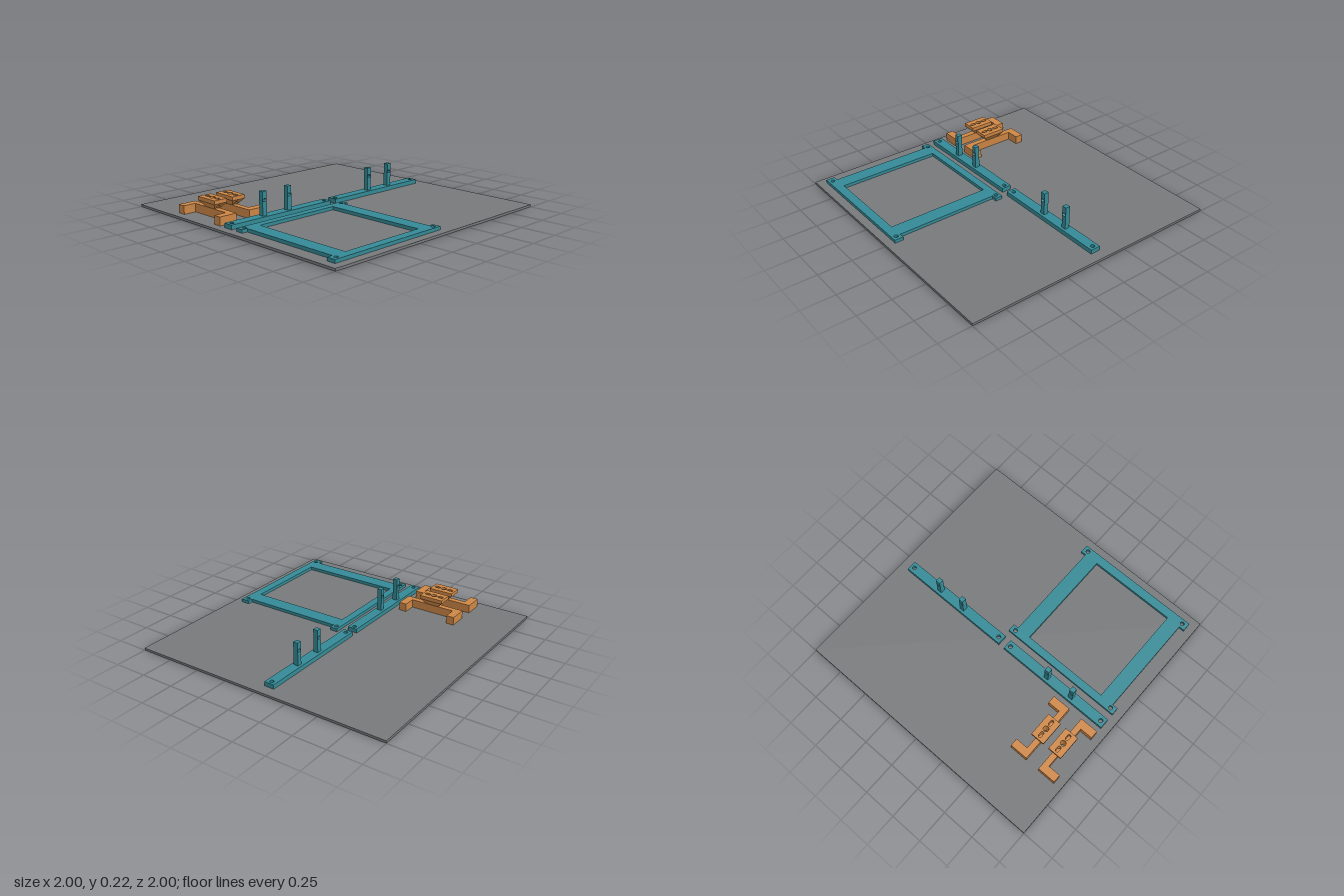
import * as THREE from 'three';

const V = (x, y) => new THREE.Vector2(x, y);
const rect = (x0, z0, x1, z1) => [V(x0, z0), V(x1, z0), V(x1, z1), V(x0, z1)];

function ring(x, z, rx, rz = rx, n = 24) {
  return Array.from({ length: n }, (_, i) => {
    const a = (i / n) * Math.PI * 2;
    return V(x + rx * Math.cos(a), z + rz * Math.sin(a));
  });
}

function shapeOf(points, holes = []) {
  const s = new THREE.Shape(points);
  holes.forEach((h) => s.holes.push(new THREE.Path(h)));
  return s;
}

// Plan outline (x, z) extruded between two heights
function slab(points, holes, y0, y1) {
  const g = new THREE.ExtrudeGeometry(shapeOf(points, holes), { depth: y1 - y0, bevelEnabled: false });
  return g.rotateX(Math.PI / 2).translate(0, y1, 0);
}

export function createModel() {
  const model = new THREE.Group();
  const plateGrey = new THREE.MeshStandardMaterial({ color: 0x77797b });
  const teal = new THREE.MeshStandardMaterial({ color: 0x348a96 });
  const orange = new THREE.MeshStandardMaterial({ color: 0xcd8746, side: THREE.DoubleSide });

  const add = (parent, name, geometry, material) => {
    const m = new THREE.Mesh(geometry, material);
    m.name = name;
    parent.add(m);
    return m;
  };

  // Build plate
  const base = 0.018;
  add(model, 'plate', new THREE.BoxGeometry(2, base, 2).translate(0, base / 2, 0), plateGrey);

  // Square frame with overhanging end bars and corner screw holes
  const outline = [
    [-0.94, 0.033], [0.03, 0.033], [0.03, 0.09], [-0.01, 0.09], [-0.01, 0.872], [0.03, 0.872],
    [0.03, 0.937], [-0.94, 0.937], [-0.94, 0.872], [-0.898, 0.872], [-0.898, 0.09], [-0.94, 0.09],
  ].map((p) => V(...p));
  const frameHoles = [rect(-0.79, 0.09, -0.12, 0.872)];
  for (const x of [-0.9, -0.008]) for (const z of [0.062, 0.905]) frameHoles.push(ring(x, z, 0.015));
  add(model, 'frame', slab(outline, frameHoles, base, 0.042), teal);

  // Two rails, each with two drilled posts
  const railZ = -0.058;
  [-0.94, 0.016].forEach((x0, i) => {
    const rail = new THREE.Group();
    rail.name = i ? 'leftRail' : 'rightRail';
    model.add(rail);
    const holes = [x0 + 0.033, x0 + 0.875].map((x) => ring(x, railZ, 0.015));
    add(rail, 'railBar', slab(rect(x0, railZ - 0.038, x0 + 0.905, railZ + 0.038), holes, base, 0.05), teal);
    const posts = i ? [0.395, 0.618] : [-0.638, -0.415];
    for (const x of posts) {
      const s = shapeOf(rect(x - 0.018, 0.05, x + 0.018, 0.222), [ring(x, 0.16, 0.0155, 0.011)]);
      const g = new THREE.ExtrudeGeometry(s, { depth: 0.036, bevelEnabled: false });
      add(rail, 'post', g.translate(0, 0, railZ - 0.018), teal);
    }
  });

  // Brackets: C-shaped foot carrying a tapered head with a bore and two slots
  const footTop = 0.08, headTop = 0.152, rise = 0.045;
  const hx = 0.054, hz = 0.0925, nx = 0.022, nz = 0.0475; // head and neck half sizes
  const underside = (x, z) => footTop + rise * Math.max(0,
    (Math.abs(x) - nx) / (hx - nx), (Math.abs(z) - nz) / (hz - nz));

  // Vertical wall along a closed outline, from a lower height rule to the head top
  function wall(points) {
    const pos = [];
    points.forEach((a, i) => {
      const b = points[(i + 1) % points.length];
      const a0 = [a.x, underside(a.x, a.y), a.y], b0 = [b.x, underside(b.x, b.y), b.y];
      const a1 = [a.x, headTop, a.y], b1 = [b.x, headTop, b.y];
      pos.push(...a0, ...a1, ...b1, ...a0, ...b1, ...b0);
    });
    const g = new THREE.BufferGeometry();
    g.setAttribute('position', new THREE.Float32BufferAttribute(pos, 3));
    g.computeVertexNormals();
    return g;
  }

  // Flat plan face bent onto the sloping underside
  function slopeFace(points) {
    const g = new THREE.ShapeGeometry(shapeOf(points)).rotateX(Math.PI / 2);
    const p = g.attributes.position;
    for (let i = 0; i < p.count; i++) p.setY(i, underside(p.getX(i), p.getZ(i)));
    g.computeVertexNormals();
    return g;
  }

  const w = 0.012;
  const arc = (z, start) => Array.from({ length: 9 }, (_, i) => {
    const a = start + (i / 8) * Math.PI;
    return V(w * Math.cos(a), z + w * Math.sin(a));
  });
  const outerArc = arc(0.065, 0);
  const slot = [V(w, nz), ...outerArc, V(-w, nz), ...arc(0.042, Math.PI)];
  const slotBack = slot.map((p) => V(-p.x, -p.y));
  const bore = ring(0, 0, 0.02);
  const headOutline = rect(-hx, -hz, hx, hz);
  const endSlope = [V(nx, nz), V(hx, hz), V(-hx, hz), V(-nx, nz), V(-w, nz),
    ...outerArc.slice().reverse(), V(w, nz)];
  const sideSlope = [V(nx, -nz), V(hx, -hz), V(hx, hz), V(nx, nz)];

  for (const [name, x, side] of [['rightBracket', -0.82, -1], ['leftBracket', -0.666, 1]]) {
    const bracket = new THREE.Group();
    bracket.name = name;
    bracket.position.set(x, 0, -0.378);
    model.add(bracket);

    const foot = [
      [-nx, -0.233], [0.118, -0.233], [0.118, -0.173], [nx, -0.173],
      [nx, 0.173], [0.118, 0.173], [0.118, 0.233], [-nx, 0.233],
    ].map(([a, b]) => V(a * side, b));
    add(bracket, 'foot', slab(foot, [bore], base, footTop), orange);

    const top = new THREE.ShapeGeometry(shapeOf(headOutline, [bore, slot, slotBack]));
    add(bracket, 'headTop', top.rotateX(-Math.PI / 2).translate(0, headTop, 0), orange);
    add(bracket, 'headSides', wall(headOutline.slice().reverse()), orange);
    add(bracket, 'headBore', wall(bore), orange);
    for (const turn of [0, Math.PI]) {
      add(bracket, 'headSlot', wall(slot).rotateY(turn), orange);
      add(bracket, 'headEndSlope', slopeFace(endSlope).rotateY(turn), orange);
      add(bracket, 'headSideSlope', slopeFace(sideSlope).rotateY(turn), orange);
    }
  }
  return model;
}
